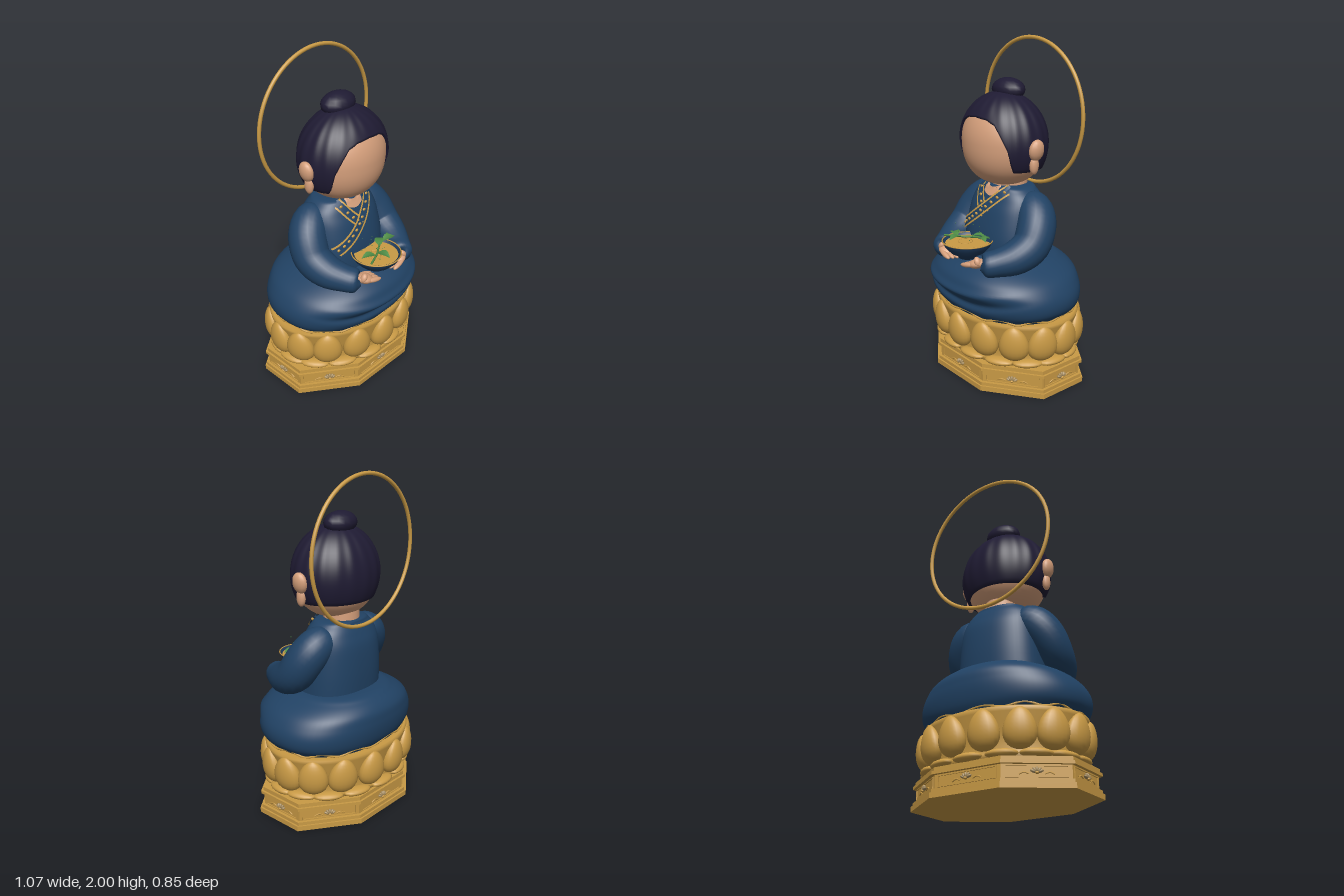
import * as THREE from 'three';

const mat = (name, color, side = THREE.FrontSide) => Object.assign(new THREE.MeshStandardMaterial({ color, side }), { name });
const ROBE = mat('robe blue', 0x214264, THREE.DoubleSide);
const GOLD = mat('gold', 0xc99a45, THREE.DoubleSide);
const HAIR = mat('hair', 0x1f1b33, THREE.DoubleSide);
const SKIN = mat('skin', 0xd6a07c, THREE.DoubleSide);
const LEAF = mat('leaf green', 0x4e8b45, THREE.DoubleSide);
const BRONZE = mat('pale bronze', 0xa98f62);
const BOWL = mat('bowl blue', 0x1d3a5c, THREE.DoubleSide);
const PI = Math.PI, V = (x, y, z) => new THREE.Vector3(x, y, z);
const spow = (c, n) => Math.sign(c) * Math.abs(c) ** (2 / n);

// Smooth interpolation through rows of numbers, t in 0..1
function track(rows) {
  return t => {
    const s = Math.min(Math.max(t, 0), 1) * (rows.length - 1), i = Math.min(Math.floor(s), rows.length - 2), f = s - i;
    const r = k => rows[Math.min(Math.max(k, 0), rows.length - 1)];
    return rows[0].map((_, c) => {
      const [p, q, u, w] = [r(i - 1)[c], r(i)[c], r(i + 1)[c], r(i + 2)[c]];
      return q + 0.5 * f * (u - p + f * (2 * p - 5 * q + 4 * u - w + f * (3 * (q - u) + w - p)));
    });
  };
}

// Surface closed around u, running along v
function surf(nu, nv, fn) {
  const pos = [], idx = [];
  for (let j = 0; j <= nv; j++) for (let i = 0; i < nu; i++) pos.push(...fn((i / nu) * PI * 2, j / nv));
  for (let j = 0; j < nv; j++) for (let i = 0; i < nu; i++) {
    const a = j * nu + i, b = j * nu + (i + 1) % nu;
    idx.push(a, b, a + nu, b, b + nu, a + nu);
  }
  const g = new THREE.BufferGeometry();
  g.setAttribute('position', new THREE.Float32BufferAttribute(pos, 3));
  g.setIndex(idx);
  g.computeVertexNormals();
  return g;
}

function add(parent, name, geo, material, x = 0, y = 0, z = 0) {
  const m = new THREE.Mesh(geo, material);
  m.name = name;
  m.position.set(x, y, z);
  parent.add(m);
  return m;
}
const ball = new THREE.SphereGeometry(1, 16, 10);
function blob(parent, name, material, p, s, rot = [0, 0, 0]) {
  const m = add(parent, name, ball, material, ...p);
  m.scale.set(...s);
  m.rotation.set(...rot);
}
function group(parent, name) {
  const g = new THREE.Group();
  g.name = name;
  parent.add(g);
  return g;
}
const tube = (pts, r, n = 40, closed = false) => new THREE.TubeGeometry(new THREE.CatmullRomCurve3(pts, closed), n, r, 6, closed);

// Limb with varying radius through rows [x, y, z, radius]
function limb(rows) {
  const at = track(rows), ref = V(0, 1, 1);
  return surf(24, 32, (u, v) => {
    const [x, y, z, r] = at(v), a = at(v - 0.02), b = at(v + 0.02);
    const T = V(b[0] - a[0], b[1] - a[1], b[2] - a[2]).normalize();
    const N = ref.clone().addScaledVector(T, -ref.dot(T)).normalize(), B = T.clone().cross(N);
    const k = Math.max(r, 0);
    return V(x, y, z).addScaledVector(N, k * Math.cos(u)).addScaledVector(B, k * Math.sin(u)).toArray();
  });
}

// Cross-sections: [y, half width, front z, back z]
const torsoAt = track([[0.68, 0.27, 0.19, -0.225], [0.85, 0.265, 0.185, -0.23], [1.0, 0.25, 0.15, -0.22], [1.08, 0.23, 0.115, -0.195],
  [1.13, 0.19, 0.09, -0.17], [1.155, 0.14, 0.07, -0.15], [1.16, 0.002, -0.03, -0.034]]);
const legsAt = track([[0.43, 0.45, 0.33, -0.35], [0.48, 0.495, 0.36, -0.375], [0.54, 0.505, 0.38, -0.388], [0.6, 0.485, 0.39, -0.39],
  [0.66, 0.435, 0.37, -0.38], [0.71, 0.345, 0.31, -0.335], [0.74, 0.25, 0.24, -0.26], [0.745, 0.01, 0, -0.01]]);
const section = (row, u, n) => [row[1] * spow(Math.sin(u), n), row[0], (row[2] + row[3]) / 2 + (row[2] - row[3]) / 2 * spow(Math.cos(u), n)];
// Legs with a raised fold and a crease across the lap
function legPoint(u, v) {
  const p = section(legsAt(v), u, 2.25);
  const front = Math.max(Math.cos(u), 0) ** 1.5, fold = y0 => Math.exp(-(((p[1] - y0) / 0.025) ** 2));
  const k = 1 + front * (0.05 * fold(0.585 + 0.25 * p[0] ** 2) - 0.07 * fold(0.515 + 0.3 * p[0] ** 2));
  return [p[0], p[1], p[2] * k];
}
function chestZ(x, y) {
  let lo = 0, hi = 5 / 6;
  for (let i = 0; i < 24; i++) { const m = (lo + hi) / 2; if (torsoAt(m)[0] < y) lo = m; else hi = m; }
  const [, a, f, b] = torsoAt(lo), q = Math.min(Math.abs(x) / a, 0.97);
  return (f + b) / 2 + (f - b) / 2 * (1 - q ** 2.4) ** (1 / 2.4);
}
// Flat band laid over the chest between two points
function chestBand(p, q, width, shift, lift) {
  const d = new THREE.Vector2(q[0] - p[0], q[1] - p[1]).normalize(), g = new THREE.PlaneGeometry(1, 1, 24, 4), a = g.attributes.position;
  for (let i = 0; i < a.count; i++) {
    const t = a.getX(i) + 0.5, w = a.getY(i) * width + shift;
    const x = p[0] + (q[0] - p[0]) * t - d.y * w, y = p[1] + (q[1] - p[1]) * t + d.x * w - 0.02 * Math.sin(PI * t);
    a.setXYZ(i, x, y, chestZ(x, y) + lift);
  }
  g.computeVertexNormals();
  return g;
}

function buildBase(root) {
  const base = group(root, 'base');
  const CZ = -0.02, R = 1 / Math.cos(PI / 8);
  // Octagonal plinth in steps: [bottom, top, half width]
  for (const [y0, y1, r] of [[0, 0.03, 0.525], [0.03, 0.05, 0.515], [0.05, 0.125, 0.498], [0.125, 0.142, 0.518], [0.142, 0.165, 0.505]]) {
    const g = new THREE.CylinderGeometry(R, R, y1 - y0, 8).rotateY(PI / 8).scale(r, 1, r - 0.147).toNonIndexed();
    g.computeVertexNormals();
    add(base, 'plinthStep', g, GOLD, 0, (y0 + y1) / 2, CZ);
  }
  // Framed panel with a blossom on each side
  const corner = k => { const a = (k * PI) / 4 + PI / 8; return V(0.498 * R * Math.sin(a), 0.0875, CZ + 0.351 * R * Math.cos(a)); };
  for (let i = 0; i < 8; i++) {
    const p = corner(i - 1), q = corner(i), L = p.distanceTo(q), panel = group(base, 'sidePanel');
    panel.position.copy(p).lerp(q, 0.5);
    panel.rotation.y = Math.atan2(-(q.z - p.z), q.x - p.x);
    for (const s of [-1, 1]) {
      add(panel, 'frameRail', new THREE.BoxGeometry(L * 0.88, 0.005, 0.012), GOLD, 0, s * 0.029, 0);
      add(panel, 'framePost', new THREE.BoxGeometry(0.006, 0.06, 0.012), GOLD, s * L * 0.44, 0, 0);
      add(panel, 'scroll', tube([V(s * 0.04, -0.012, 0.003), V(s * 0.065, -0.004, 0.004), V(s * 0.09, -0.014, 0.003)], 0.004, 10), GOLD);
    }
    for (const a of [-1.2, -0.6, 0, 0.6, 1.2])
      blob(panel, 'blossomPetal', BRONZE, [Math.sin(a) * 0.02, Math.cos(a) * 0.012 - 0.004, 0.008], [0.008, 0.016, 0.01], [0, 0, -a]);
    blob(panel, 'blossomHeart', GOLD, [0, -0.008, 0.012], [0.01, 0.008, 0.01]);
  }
  // Lotus seat
  const profile = [[0.001, 0.16], [0.46, 0.16], [0.47, 0.19], [0.44, 0.22], [0.47, 0.3], [0.49, 0.38], [0.5, 0.405], [0.503, 0.425], [0.49, 0.435], [0.001, 0.437]];
  const seat = add(base, 'lotusSeat', new THREE.LatheGeometry(profile.map(p => new THREE.Vector2(...p)), 72), GOLD, 0, 0, CZ);
  seat.scale.z = 0.75;
  const petal = surf(20, 14, (u, v) => {
    const th = v * PI, w = Math.sin(th) * (1 + 0.22 * Math.cos(th));
    return [0.088 * w * Math.sin(u), -0.11 * Math.cos(th), 0.055 * w * Math.cos(u)];
  });
  const ring = (r, a) => [r * Math.sin(a), CZ + r * 0.75 * Math.cos(a), Math.atan2(Math.sin(a) * 0.75, Math.cos(a))];
  for (let i = 0; i < 15; i++) {
    const a = (i / 15) * PI * 2, [x, z, turn] = ring(0.482, a), [x2, z2, turn2] = ring(0.465, a + PI / 15);
    const m = add(base, 'lotusPetal', petal, GOLD, x, 0.315, z);
    m.rotation.order = 'YXZ';
    m.rotation.set(0.16, turn, 0);
    blob(base, 'lowerPetal', GOLD, [x2, 0.187, z2], [0.09, 0.024, 0.045], [0, turn2, 0]);
  }
}

function buildBody(root) {
  const body = group(root, 'robedBody');
  add(body, 'foldedLegs', surf(80, 48, legPoint), ROBE);
  add(body, 'torso', surf(56, 32, (u, v) => section(torsoAt(v), u, 2.4)), ROBE);
  // Wavy gold hem
  const hem = [];
  for (let i = 0; i < 96; i++) {
    const [x, , z] = legPoint((i / 96) * PI * 2, 0.06);
    hem.push(V(x * 1.005, 0.447 + 0.01 * Math.sin(i * PI / 4), z * 1.005));
  }
  add(body, 'hem', tube(hem, 0.006, 240, true), GOLD);
  // Crossed collar with gold edges and studs
  add(body, 'chestSkin', chestBand([-0.06, 1.148], [0.06, 1.148], 0.05, -0.005, 0.004), SKIN);
  for (const [p, q, lift] of [[[-0.115, 1.15], [0.02, 1.0], 0.006], [[0.125, 1.15], [-0.2, 0.885], 0.012]]) {
    add(body, 'collarBand', chestBand(p, q, 0.055, 0, lift), ROBE);
    for (const s of [-1, 1]) add(body, 'collarEdge', chestBand(p, q, 0.011, s * 0.027, lift + 0.004), GOLD);
    const n = Math.round(Math.hypot(q[0] - p[0], q[1] - p[1]) / 0.04);
    for (let i = 0; i < n; i++) {
      const t = (i + 0.5) / n, x = p[0] + (q[0] - p[0]) * t, y = p[1] + (q[1] - p[1]) * t - 0.02 * Math.sin(PI * t);
      blob(body, 'collarStud', GOLD, [x, y, chestZ(x, y) + lift], [0.012, 0.009, 0.006]);
    }
  }
  for (const s of [-1, 1]) {
    const side = s > 0 ? 'left' : 'right';
    add(body, side + 'Sleeve', limb([[0.13, 1.06, -0.06, 0.002], [0.15, 1.05, -0.06, 0.08], [0.22, 1.025, -0.05, 0.108], [0.275, 0.95, -0.015, 0.115], [0.298, 0.855, 0.045, 0.11],
      [0.28, 0.8, 0.14, 0.1], [0.235, 0.775, 0.24, 0.08], [0.195, 0.768, 0.305, 0.066], [0.19, 0.768, 0.312, 0.002]].map(([x, ...r]) => [x * s, ...r])), ROBE);
    // Cupped hand
    const hand = group(body, side + 'Hand');
    blob(hand, 'palm', SKIN, [s * 0.145, 0.765, 0.315], [0.055, 0.028, 0.05], [0, 0, s * 0.3]);
    blob(hand, 'thumb', SKIN, [s * 0.172, 0.79, 0.335], [0.018, 0.028, 0.02], [0, 0, s * 0.5]);
    for (let i = 0; i < 4; i++)
      blob(hand, 'finger', SKIN, [s * (0.098 + 0.004 * i), 0.748 + 0.003 * i, 0.27 + 0.029 * i], [0.055, 0.015, 0.017], [0, s * 0.15, s * 0.2]);
  }
}

function buildHead(root) {
  const head = group(root, 'head');
  add(head, 'neck', new THREE.CylinderGeometry(0.105, 0.11, 0.16, 32), SKIN, 0, 1.17, -0.045);
  add(head, 'face', surf(56, 36, (u, v) => {
    const t = (v - 0.5) * PI, n = t < 0 ? 2.35 : 2, r = spow(Math.cos(t), n);
    return [0.262 * r * Math.sin(u), 1.42 + 0.262 * spow(Math.sin(t), n), 0.232 * r * Math.cos(u)];
  }), SKIN);
  // Hair cap: hairline as [degrees from front, height]
  const line = [[0, 1.568], [20, 1.56], [33, 1.535], [41, 1.48], [50, 1.4], [56, 1.3], [60, 1.27], [181, 1.27]];
  add(head, 'hair', surf(144, 24, (u, v) => {
    const d = Math.abs(u > PI ? u - 2 * PI : u) * 180 / PI, k = line.findIndex(p => p[0] > d), [a, b] = [line[k - 1], line[k]];
    const y0 = a[1] + (b[1] - a[1]) * (d - a[0]) / (b[0] - a[0]), t0 = Math.asin((y0 - 1.41) / 0.29);
    const w = Math.max((v * 24 - 1) / 23, 0), t = t0 + (PI / 2 - t0) * w;
    const r = Math.cos(t) * (v === 0 ? 0.88 : 1 + 0.01 * Math.cos(18 * u) * Math.sin(PI * w));
    return [0.287 * r * Math.sin(u), 1.41 + 0.29 * Math.sin(t), 0.24 * r * Math.cos(u)];
  }), HAIR);
  blob(head, 'topknot', HAIR, [0, 1.705, -0.037], [0.114, 0.067, 0.083]);
  for (const s of [-1, 1]) {
    const ear = group(head, s > 0 ? 'leftEar' : 'rightEar');
    blob(ear, 'earShell', SKIN, [s * 0.29, 1.4, 0.005], [0.034, 0.062, 0.05], [0, 0, -s * 0.15]);
    blob(ear, 'earLobe', SKIN, [s * 0.277, 1.315, 0.01], [0.024, 0.055, 0.03]);
  }
  add(root, 'halo', new THREE.TorusGeometry(0.427, 0.0115, 10, 80), GOLD, 0, 1.5615, -0.215);
}

function buildBowl(root) {
  const bowl = group(root, 'bowl');
  bowl.position.set(0, 0, 0.273);
  const prof = [[0.001, 0.755], [0.055, 0.755], [0.06, 0.77], [0.1, 0.79], [0.133, 0.825], [0.147, 0.857], [0.14, 0.857], [0.126, 0.838]];
  add(bowl, 'bowlShell', new THREE.LatheGeometry(prof.map(p => new THREE.Vector2(...p)), 48), BOWL);
  add(bowl, 'bowlRim', new THREE.TorusGeometry(0.147, 0.004, 6, 48).rotateX(PI / 2), GOLD, 0, 0.857, 0);
  add(bowl, 'filling', new THREE.CircleGeometry(0.13, 40).rotateX(-PI / 2), GOLD, 0, 0.845, 0);
  add(bowl, 'fillingRing', new THREE.TorusGeometry(0.042, 0.002, 6, 32).rotateX(PI / 2), GOLD, -0.02, 0.846, 0);
  // Sprig with leaves
  add(bowl, 'twig', tube([V(-0.125, 0.872, 0.075), V(-0.04, 0.88, 0.04), V(0.04, 0.885, -0.01), V(0.145, 0.9, -0.045)], 0.006), LEAF);
  const leaf = new THREE.PlaneGeometry(1, 1, 10, 4), a = leaf.attributes.position;
  for (let i = 0; i < a.count; i++) {
    const t = THREE.MathUtils.clamp(a.getX(i) + 0.5, 0, 1), w = a.getY(i) * 0.055 * Math.sin(PI * t ** 0.8);
    a.setXYZ(i, t * 0.09, 0.012 * Math.sin(PI * t) + Math.abs(w) * 0.3, -w);
  }
  leaf.computeVertexNormals();
  for (const [x, y, z, r] of [[-0.05, 0.878, 0.04, 2.75], [-0.025, 0.878, 0.03, -1.45], [0.03, 0.884, -0.005, 0.75], [0.08, 0.889, -0.02, -0.2]])
    add(bowl, 'leaf', leaf, LEAF, x, y, z).rotation.y = r;
  // Fine droplets
  for (let i = 0; i < 16; i++) {
    const t = i * 2.4, r = 0.1 * Math.sqrt((i + 0.5) / 16);
    add(bowl, 'droplet', new THREE.SphereGeometry(0.0028, 6, 4), LEAF, r * Math.cos(t), 0.86 + ((i * 7) % 16) * 0.006, r * Math.sin(t));
  }
}

export function createModel() {
  const root = new THREE.Group();
  root.name = 'seatedFigureOnLotus';
  [buildBase, buildBody, buildHead, buildBowl].forEach(build => build(root));
  return root;
}
